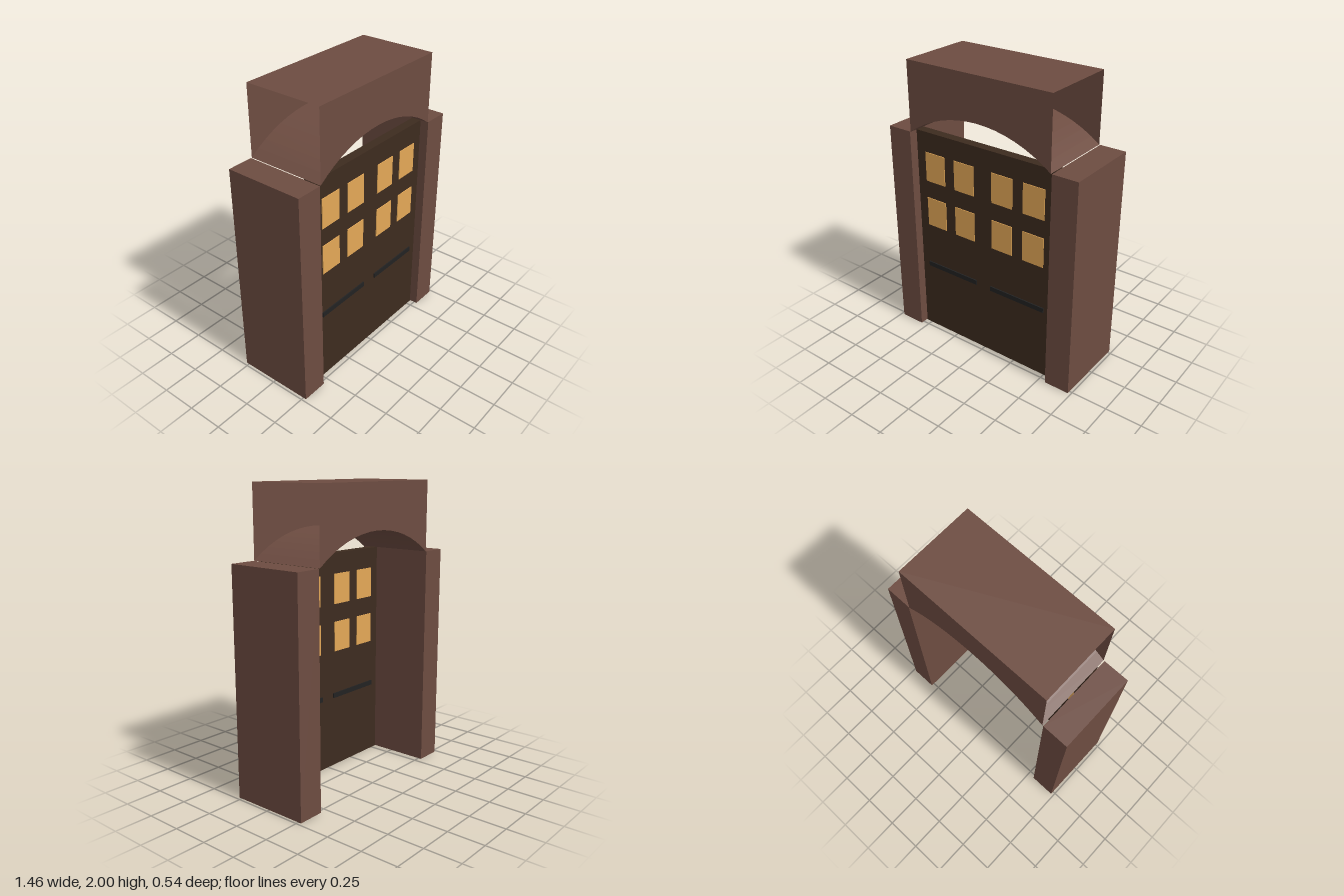
import * as THREE from 'three';

const mat = (color) => new THREE.MeshStandardMaterial({ color, flatShading: true, side: THREE.DoubleSide });

export function createModel() {
  const model = new THREE.Group();
  const brick = mat(0x6d4c41), wood = mat(0x3d2b1f), glow = mat(0xe4a857), iron = mat(0x222222);

  const add = (parent, name, geometry, material) => {
    const mesh = new THREE.Mesh(geometry, material);
    mesh.name = name;
    parent.add(mesh);
    return mesh;
  };
  // Box given by its limits on each axis
  const box = (parent, name, x0, x1, y0, y1, z0, z1, material) =>
    add(parent, name, new THREE.BoxGeometry(x1 - x0, y1 - y0, z1 - z0), material)
      .position.set((x0 + x1) / 2, (y0 + y1) / 2, (z0 + z1) / 2);

  const half = 0.543, depth = 0.544, spring = 1.52, crown = 1.7, top = 2;

  // Side pillars
  box(model, 'leftPillar', 0.55, 0.73, 0, spring, -depth / 2, depth / 2, brick);
  box(model, 'rightPillar', -0.73, -0.55, 0, spring, -depth / 2, depth / 2, brick);

  // Door, set near the front between the pillars
  const door = new THREE.Group();
  door.name = 'door';
  model.add(door);
  const back = 0.15, front = 0.215;
  box(door, 'doorPanel', -0.545, 0.545, 0, spring, back, front, wood);
  for (const s of [-1, 1]) {
    // Panes and bars run through the door and stand slightly proud
    for (const x of [0.152, 0.393])
      for (const y of [0.942, 1.275])
        box(door, 'windowPane', s * x - 0.08, s * x + 0.08, y - 0.104, y + 0.104, back - 0.005, front + 0.005, glow);
    box(door, 'handleBar', s * 0.272 - 0.213, s * 0.272 + 0.213, 0.503, 0.537, back - 0.008, front + 0.008, iron);
  }

  // Arch: hollow, open at both ends
  const arch = new THREE.Group();
  arch.name = 'arch';
  model.add(arch);
  const rise = crown - spring, segments = 16;
  const radius = (half * half + rise * rise) / (2 * rise);
  const angle = Math.asin(half / radius), centreY = crown - radius;

  const points = [new THREE.Vector2(half, top), new THREE.Vector2(-half, top)];
  for (let i = 0; i <= segments; i++) {
    const a = -angle + (2 * angle * i) / segments;
    points.push(new THREE.Vector2(radius * Math.sin(a), centreY + radius * Math.cos(a)));
  }
  const face = new THREE.ShapeGeometry(new THREE.Shape(points));
  add(arch, 'archFront', face, brick).position.z = depth / 2;
  const rear = add(arch, 'archBack', face, brick);
  rear.rotation.y = Math.PI;
  rear.position.z = -depth / 2;

  add(arch, 'archTop', new THREE.PlaneGeometry(2 * half, depth).rotateX(-Math.PI / 2), brick).position.y = top;

  const soffit = new THREE.CylinderGeometry(radius, radius, depth, segments, 1, true, -angle, 2 * angle);
  add(arch, 'archSoffit', soffit.rotateX(-Math.PI / 2), brick).position.y = centreY;

  return model;
}
